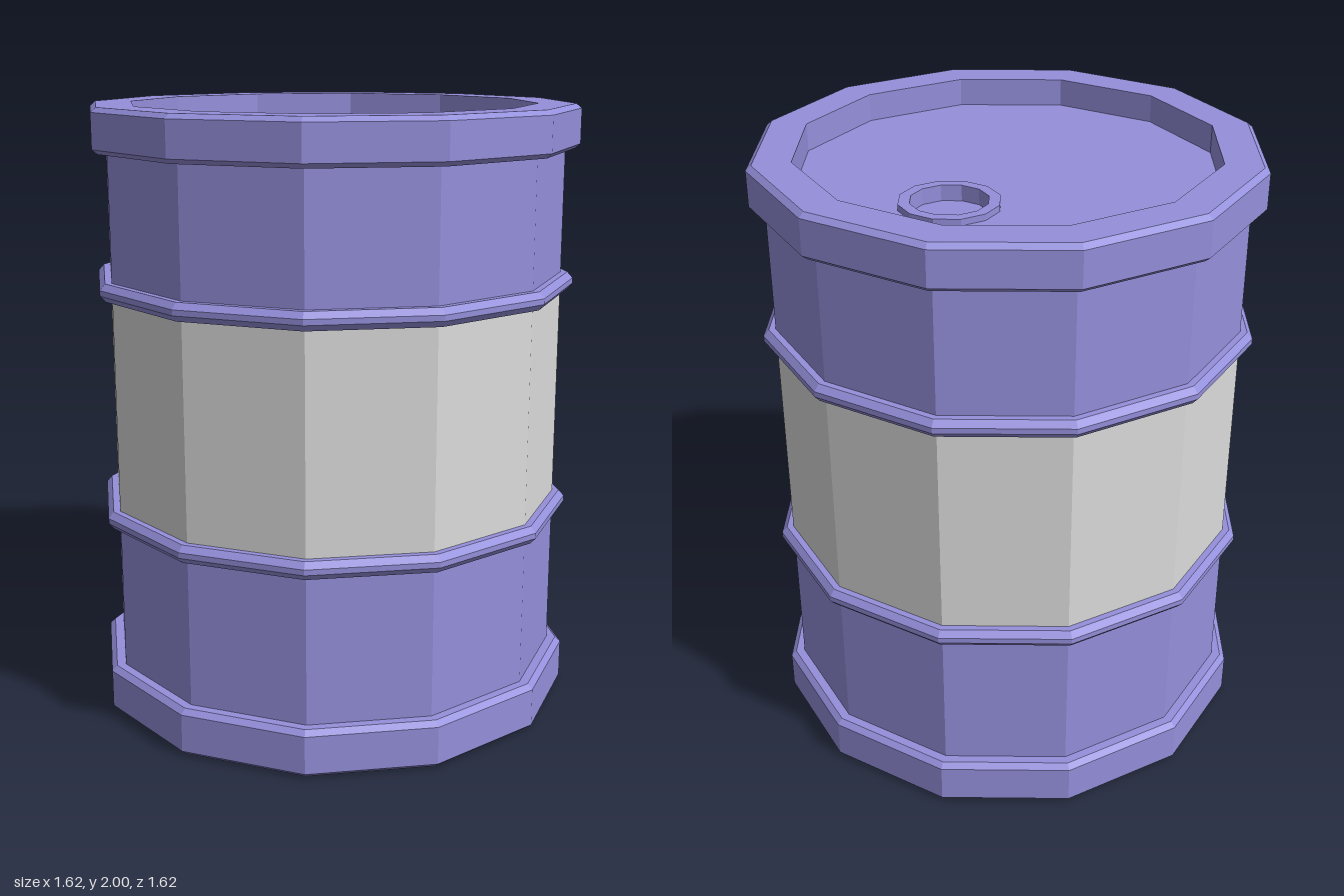
import * as THREE from 'three';

const SIDES = 12;

// Faceted surface of revolution; profile is a list of [radius, height]
function turned(name, profile, material) {
  const lathe = new THREE.LatheGeometry(profile.map(([r, y]) => new THREE.Vector2(r, y)), SIDES);
  const geometry = lathe.toNonIndexed();
  geometry.computeVertexNormals();
  const mesh = new THREE.Mesh(geometry, material);
  mesh.name = name;
  return mesh;
}

// Corner points of a twelve-sided outline
function outline(radius, cx = 0, cy = 0) {
  return Array.from({ length: SIDES }, (_, i) => {
    const a = (i / SIDES) * Math.PI * 2;
    return new THREE.Vector2(cx + radius * Math.cos(a), cy + radius * Math.sin(a));
  });
}

export function createModel() {
  const paint = new THREE.MeshStandardMaterial({ color: 0x9590dc });
  paint.name = 'violet paint';
  const grey = new THREE.MeshStandardMaterial({ color: 0xdcdcdc });
  grey.name = 'light grey';

  const drum = new THREE.Group();
  drum.name = 'drum';

  const body = 0.76, rim = 0.808, bevel = 0.79, recess = 0.67;
  const lidY = 1.91, plugX = -0.085, plugZ = -0.325;

  // Lower shell with the recessed base and bottom rim
  drum.add(turned('lowerShell', [
    [0, 0.09], [recess, 0.09], [recess, 0], [bevel, 0], [rim, 0.015],
    [rim, 0.14], [bevel, 0.157], [body, 0.157], [body, 0.67],
  ], paint));

  // Grey middle section
  drum.add(turned('middleShell', [[body, 0.67], [body, 1.425]], grey));

  // Upper shell with the top rim and the wall of the lid recess
  drum.add(turned('upperShell', [
    [body, 1.425], [body, 1.857], [bevel, 1.857], [rim, 1.872],
    [rim, 1.985], [bevel, 2], [recess, 2], [recess, lidY],
  ], paint));

  // Rolling hoops
  for (const [name, y] of [['lowerHoop', 0.67], ['upperHoop', 1.425]]) {
    drum.add(turned(name, [
      [body, y - 0.029], [0.782, y - 0.029], [0.8, y - 0.009],
      [0.8, y + 0.009], [0.782, y + 0.029], [body, y + 0.029],
    ], paint));
  }

  // Sunken lid with the filler opening
  const lidShape = new THREE.Shape(outline(recess));
  lidShape.holes.push(new THREE.Path(outline(0.12, plugX, -plugZ)));
  const lid = new THREE.Mesh(new THREE.ShapeGeometry(lidShape).rotateX(-Math.PI / 2), paint);
  lid.name = 'lid';
  lid.position.y = lidY;
  drum.add(lid);

  // Filler collar and its shallow well
  const filler = turned('filler', [
    [0.155, 0], [0.155, 0.02], [0.12, 0.02], [0.12, -0.03], [0, -0.03],
  ], paint);
  filler.position.set(plugX, lidY, plugZ);
  drum.add(filler);

  return drum;
}
